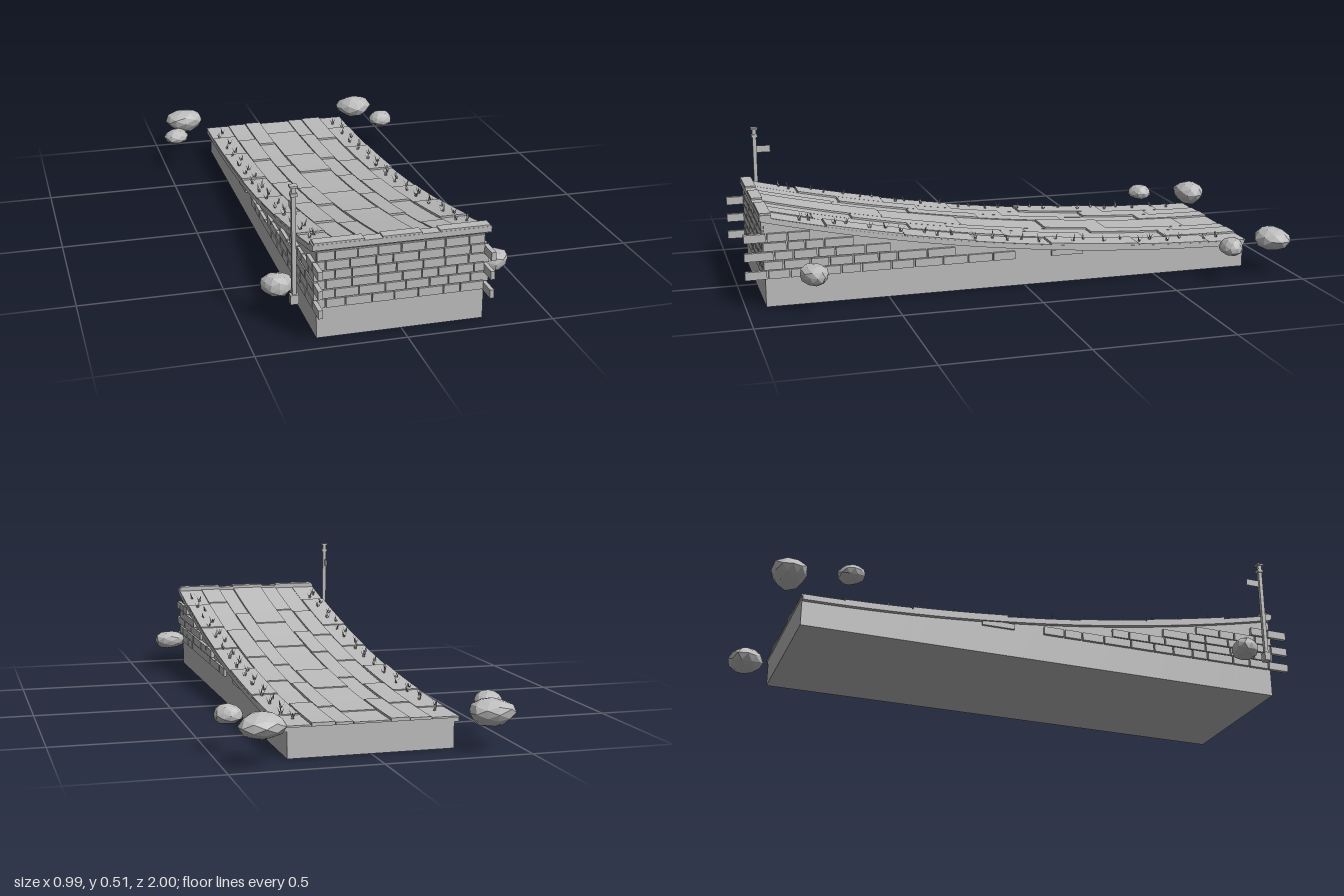
import * as THREE from 'three';

const stone = new THREE.MeshStandardMaterial({ color: 0xbcbcbc, flatShading: true });
stone.name = 'grey stone';
const blade = new THREE.MeshStandardMaterial({ color: 0xbcbcbc, flatShading: true, side: THREE.DoubleSide });
blade.name = 'grey grass and flag';

// Small seeded random generator
let seed = 7;
const rnd = () => (seed = (seed * 16807) % 2147483647) / 2147483647;

// Height of the rising road at depth z
const roadY = (z) => 0.106 + 0.219 * ((z + 0.86) / 1.805) ** 2;

function add(parent, name, geometry, x = 0, y = 0, z = 0, material = stone) {
  const mesh = new THREE.Mesh(geometry, material);
  mesh.name = name;
  mesh.position.set(x, y, z);
  parent.add(mesh);
  return mesh;
}

function box(parent, name, x0, x1, y0, y1, z0, z1) {
  return add(parent, name, new THREE.BoxGeometry(x1 - x0, y1 - y0, z1 - z0),
    (x0 + x1) / 2, (y0 + y1) / 2, (z0 + z1) / 2);
}

// Box whose top and bottom follow functions of z
function bent(x0, x1, z0, z1, bottom, top) {
  const steps = Math.max(2, Math.ceil((z1 - z0) / 0.08));
  const g = new THREE.BoxGeometry(x1 - x0, 1, z1 - z0, 1, 1, steps);
  g.translate((x0 + x1) / 2, 0, (z0 + z1) / 2);
  const p = g.attributes.position;
  for (let i = 0; i < p.count; i++) p.setY(i, (p.getY(i) > 0 ? top : bottom)(p.getZ(i)));
  g.computeVertexNormals();
  return g;
}

// Boulder: faceted sphere pushed in and out by a smooth rule
function rock(parent, x, z, rx, ry, rz, phase) {
  const g = new THREE.IcosahedronGeometry(1, 1);
  const p = g.attributes.position;
  const v = new THREE.Vector3();
  for (let i = 0; i < p.count; i++) {
    v.fromBufferAttribute(p, i);
    const k = 0.95 + 0.09 * Math.sin(3 * v.x + phase) * Math.cos(2.5 * v.z - phase) + 0.05 * Math.sin(4 * v.y + phase);
    p.setXYZ(i, v.x * k * rx, v.y * k * ry, v.z * k * rz);
  }
  g.computeVertexNormals();
  add(parent, 'rock', g, x, 0.13, z);
}

// Tuft of three flat blades leaning outward
function tuftGeometry() {
  const pos = [];
  for (let i = 0; i < 3; i++) {
    const a = (i * 2 * Math.PI) / 3;
    const c = Math.cos(a), s = Math.sin(a);
    const w = 0.005, lean = 0.014, h = i === 0 ? 0.032 : 0.025;
    pos.push(-s * w, 0, c * w, s * w, 0, -c * w, c * lean, h, s * lean);
  }
  const g = new THREE.BufferGeometry();
  g.setAttribute('position', new THREE.Float32BufferAttribute(pos, 3));
  g.computeVertexNormals();
  return g;
}

export function createModel() {
  const model = new THREE.Group();
  model.name = 'stoneRamp';
  seed = 7;

  // Solid core and road bed
  add(model, 'rampBody', bent(-0.284, 0.279, -0.86, 0.93, () => 0, (z) => roadY(z) - 0.012));
  add(model, 'roadBed', bent(-0.3, 0.295, -0.86, 0.94, (z) => roadY(z) - 0.018, roadY));

  // Paving slabs in lanes with staggered joints and slightly different heights
  const paving = new THREE.Group();
  paving.name = 'paving';
  model.add(paving);
  const lanes = [-0.3, -0.205, -0.13, -0.065, 0.06, 0.12, 0.2, 0.295];
  for (let i = 0; i < lanes.length - 1; i++) {
    let z = -0.865;
    let n = i;
    while (z < 0.91) {
      let end = z + (z < -0.86 ? 0.15 + 0.07 * (i % 3) : 0.24 + 0.12 * rnd());
      if (end > 0.8) end = 0.91;
      const lift = 0.002 + 0.003 * (n++ % 3);
      add(paving, 'slab', bent(lanes[i] + 0.001, lanes[i + 1] - 0.001, z, end - 0.003,
        (q) => roadY(q) - 0.004, (q) => roadY(q) + lift));
      z = end;
    }
  }

  // Coping along the high front edge
  box(model, 'frontCoping', -0.3, 0.295, 0.31, 0.329, 0.905, 0.945);
  for (const [a, b] of [[-0.295, -0.13], [-0.07, 0.06], [0.12, 0.29]])
    box(model, 'copingCap', a, b, 0.325, 0.335, 0.905, 0.944);

  // Brick courses on the front and both sides
  const rowY = (r) => 0.107 + r * 0.0328;
  const bricks = new THREE.Group();
  bricks.name = 'brickwork';
  model.add(bricks);
  for (let r = 0; r < 6; r++) {
    const y0 = rowY(r), y1 = y0 + 0.029;
    let x = -0.283;
    let first = true;
    while (x < 0.275) {
      let end = x + (first ? 0.03 + 0.03 * (r % 2) : 0.055 + 0.035 * rnd());
      if (end > 0.25) end = 0.279;
      box(bricks, 'frontBrick', x, end - 0.004, y0, y1, 0.925, 0.938);
      x = end;
      first = false;
    }
    for (const side of [-1, 1]) {
      const inner = 0.278, outer = 0.29 + 0.005 * rnd();
      let z = r % 2 ? 0.935 : 1.0;
      while (z > -0.2) {
        const len = 0.06 + 0.05 * rnd();
        const back = z - len;
        if (roadY(back) - 0.014 < y1 + 0.002) break;
        const xs = [side * inner - 0.003, side * outer - 0.003].sort((a, b) => a - b);
        if (!(r === 0 && z < 0 && z > -0.08)) box(bricks, 'sideBrick', xs[0], xs[1], y0 - 0.005, y1 - 0.005, back + 0.006, z);
        z = back;
      }
    }
  }
  // Last loose bricks near the low end
  for (const side of [-1, 1])
    box(bricks, 'looseBrick', side * 0.284 - 0.009, side * 0.284 + 0.003, 0.102, 0.122, -0.22, -0.1);

  // Grass tufts along both road edges
  const grass = new THREE.Group();
  grass.name = 'grass';
  model.add(grass);
  const tuft = tuftGeometry();
  const tuftZ = [-0.77, -0.71, -0.62, -0.56, -0.5, -0.45, -0.385, -0.31, -0.24, -0.19, -0.13, -0.06, 0, 0.06,
    0.11, 0.18, 0.26, 0.32, 0.36, 0.45, 0.5, 0.56, 0.64, 0.685, 0.77, 0.805];
  tuftZ.forEach((z, i) => {
    for (const side of [-1, 1]) {
      const x = side * (0.255 + 0.012 * (i % 2 ? 1 : -1)) - 0.006;
      const t = add(grass, 'grassTuft', tuft, x, roadY(z) + 0.002, z, blade);
      t.rotation.y = rnd() * 6.28;
    }
  });

  // Boulders around the ramp
  rock(model, -0.388, -0.93, 0.083, 0.05, 0.064, 0.4);
  rock(model, 0.378, -0.932, 0.077, 0.05, 0.066, 1.7);
  rock(model, -0.453, -0.735, 0.05, 0.034, 0.047, 2.6);
  rock(model, 0.441, -0.737, 0.053, 0.034, 0.047, 3.5);
  rock(model, -0.375, 0.773, 0.06, 0.038, 0.052, 4.4);
  rock(model, 0.365, 0.773, 0.065, 0.038, 0.052, 5.3);

  // Signpost beside the front corner
  const post = new THREE.Group();
  post.name = 'signpost';
  post.position.set(-0.344, 0, 0.88);
  model.add(post);
  box(post, 'pole', -0.007, 0.007, 0.108, 0.505, -0.007, 0.007);
  box(post, 'poleFoot', -0.014, 0.014, 0.108, 0.14, -0.012, 0.012);
  box(post, 'poleCollar', -0.011, 0.011, 0.475, 0.486, -0.011, 0.011);
  box(post, 'poleCap', -0.013, 0.013, 0.505, 0.511, -0.013, 0.013);
  const flag = add(post, 'signPlate', new THREE.PlaneGeometry(0.052, 0.026), 0, 0.428, -0.033, blade);
  flag.rotation.y = Math.PI / 2;

  return model;
}
